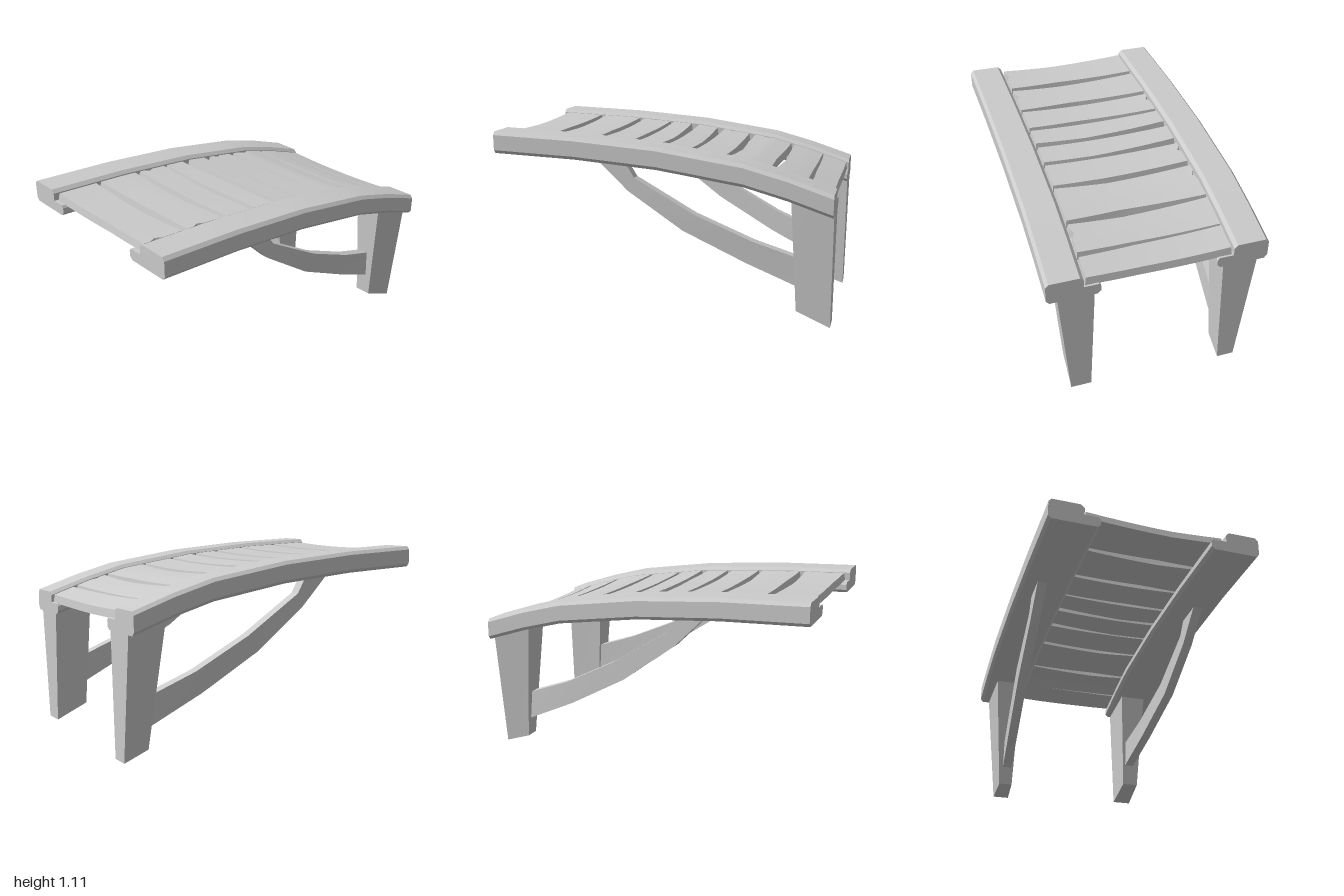
import * as THREE from 'three';
import { toCreasedNormals } from 'three/addons/utils/BufferGeometryUtils.js';

const material = new THREE.MeshStandardMaterial({ color: 0xcccccc });
const { lerp } = THREE.MathUtils;

// Piecewise-linear lookup through [position, value] knots in rising order
function sample(knots, t) {
  let i = 0;
  while (i < knots.length - 2 && t > knots[i + 1][0]) i++;
  const [a, va] = knots[i], [b, vb] = knots[i + 1];
  return lerp(va, vb, (t - a) / (b - a));
}

// Height of the rail tops along the ramp
const rampKnots = [[-1, 0.845], [-0.75, 0.925], [-0.5, 0.99], [0, 1.06], [0.5, 1.095], [1, 1.11]];
const ramp = (z) => sample(rampKnots, z);

// Moves every vertex of a geometry by a rule, then rebuilds the normals
function bend(geometry, rule, crease = 0.4) {
  const p = geometry.attributes.position;
  const v = new THREE.Vector3();
  for (let i = 0; i < p.count; i++) {
    v.fromBufferAttribute(p, i);
    rule(v);
    p.setXYZ(i, v.x, v.y, v.z);
  }
  return toCreasedNormals(geometry, crease);
}

function addPart(group, name, geometry) {
  const mesh = new THREE.Mesh(geometry, material);
  mesh.name = name;
  group.add(mesh);
}

// Chamfered rail with an inner ledge, swept along the ramp
function railGeometry(side) {
  const section = [
    [0.45, 0], [0.62, 0], [0.638, -0.02], [0.638, -0.11], [0.62, -0.13], [0.355, -0.13],
    [0.335, -0.112], [0.335, -0.08], [0.345, -0.065], [0.43, -0.065], [0.43, -0.02],
  ];
  const shape = new THREE.Shape(section.map(([x, y]) => new THREE.Vector2(side * x, y)));
  const geometry = new THREE.ExtrudeGeometry(shape, { depth: 2, steps: 8, bevelEnabled: false });
  return bend(geometry.translate(0, 0, -1), (v) => { v.y += ramp(v.z); });
}

// Worn plank: back edge and front edge each given at left end, middle, right end
function slatGeometry(back, front, notchSide) {
  const edge = (e, x) => sample([[-0.42, e[0]], [0.1, e[1]], [0.42, e[2]]], x);
  return bend(new THREE.BoxGeometry(0.83, 1, 1, 8, 1, 6), (v) => {
    const end = Math.abs(v.x) > 0.41 ? Math.sign(v.x) : 0;
    const row = Math.round((v.z + 0.5) * 6);
    const x = v.x;
    const low = v.y < 0;
    v.z = lerp(edge(back, x), edge(front, x), v.z + 0.5);
    if (low && row === 0) v.z -= 0.006;
    if (low && row === 6) v.z += 0.008;
    const sag = 0.012 * (1 - (x / 0.415) ** 2);
    v.y = ramp(v.z) - (low ? 0.065 : 0.02) - sag;
    // Splintered nick in the end grain
    if (end && end === notchSide && row === 4) v.x -= end * 0.02;
    if (end && low) v.x += end * 0.006;
  });
}

// Tapered leg with a sloping foot
function legGeometry(side, foot) {
  return bend(new THREE.BoxGeometry(1, 1, 1), (v) => {
    const isFront = v.z > 0, isTop = v.y > 0, outer = v.x * side > 0;
    const inset = isFront ? 0.008 : 0;
    if (isTop) {
      v.z = isFront ? -0.757 : -1;
      v.y = ramp(v.z) - 0.09;
      v.x = side * (outer ? 0.58 - 2 * inset : 0.37 + 2 * inset);
    } else {
      v.z = isFront ? foot.frontZ : -1;
      v.y = isFront ? foot.frontY : foot.backY;
      v.x = side * (outer ? foot.outer - inset : 0.397 + inset);
    }
  });
}

// Curved brace from rail to leg, following stations of lower and upper edge
function braceGeometry(side, stations) {
  const last = stations.length - 1;
  return bend(new THREE.BoxGeometry(1, 1, 1, 1, 1, last), (v) => {
    const s = stations[Math.round((v.z + 0.5) * last)];
    const outer = v.x * side > 0;
    const [z, y] = v.y < 0 ? s.lower : s.upper;
    v.set(side * (s.x + (outer ? 0.03 : -0.03)), y, z);
  });
}

export function createModel() {
  const group = new THREE.Group();
  group.name = 'rampBridge';

  // Rails
  addPart(group, 'leftRail', railGeometry(1));
  addPart(group, 'rightRail', railGeometry(-1));

  // Slats, from the low end to the high end
  const slats = [
    [[-0.985, -0.98, -0.985], [-0.84, -0.845, -0.86], 0],
    [[-0.83, -0.825, -0.83], [-0.64, -0.655, -0.645], 1],
    [[-0.62, -0.605, -0.62], [-0.375, -0.39, -0.37], -1],
    [[-0.335, -0.345, -0.345], [-0.165, -0.165, -0.165], -1],
    [[-0.115, -0.138, -0.135], [0.01, 0.005, 0.005], 0],
    [[0.065, 0.04, 0.05], [0.19, 0.188, 0.188], 0],
    [[0.215, 0.23, 0.22], [0.4, 0.4, 0.405], -1],
    [[0.435, 0.45, 0.43], [0.685, 0.67, 0.68], 1],
    [[0.72, 0.732, 0.715], [0.97, 0.955, 0.965], 1],
  ];
  slats.forEach(([back, front, notch], i) => addPart(group, `slat${i + 1}`, slatGeometry(back, front, notch)));

  // Legs, the right one standing slightly lower
  addPart(group, 'leftLeg', legGeometry(1, { frontZ: -0.8, frontY: 0.12, backY: 0.04, outer: 0.517 }));
  addPart(group, 'rightLeg', legGeometry(-1, { frontZ: -0.845, frontY: 0.05, backY: 0, outer: 0.5 }));

  // Braces, the right one hanging lower towards the leg
  for (const [side, name, drop] of [[1, 'leftBrace', 0], [-1, 'rightBrace', 0.075]]) {
    addPart(group, name, braceGeometry(side, [
      { x: 0.445, lower: [-0.83, 0.245 - drop], upper: [-0.83, 0.42 - drop] },
      { x: 0.475, lower: [-0.5, 0.385 - 0.8 * drop], upper: [-0.54, 0.515 - 0.8 * drop] },
      { x: 0.505, lower: [-0.13, 0.56 - 0.4 * drop], upper: [-0.2, 0.66 - 0.4 * drop] },
      { x: 0.513, lower: [0.2, 0.78 - 0.1 * drop], upper: [0.16, 0.86 - 0.1 * drop] },
      { x: 0.515, lower: [0.42, 0.99], upper: [0.24, 0.99] },
    ]));
  }
  return group;
}
